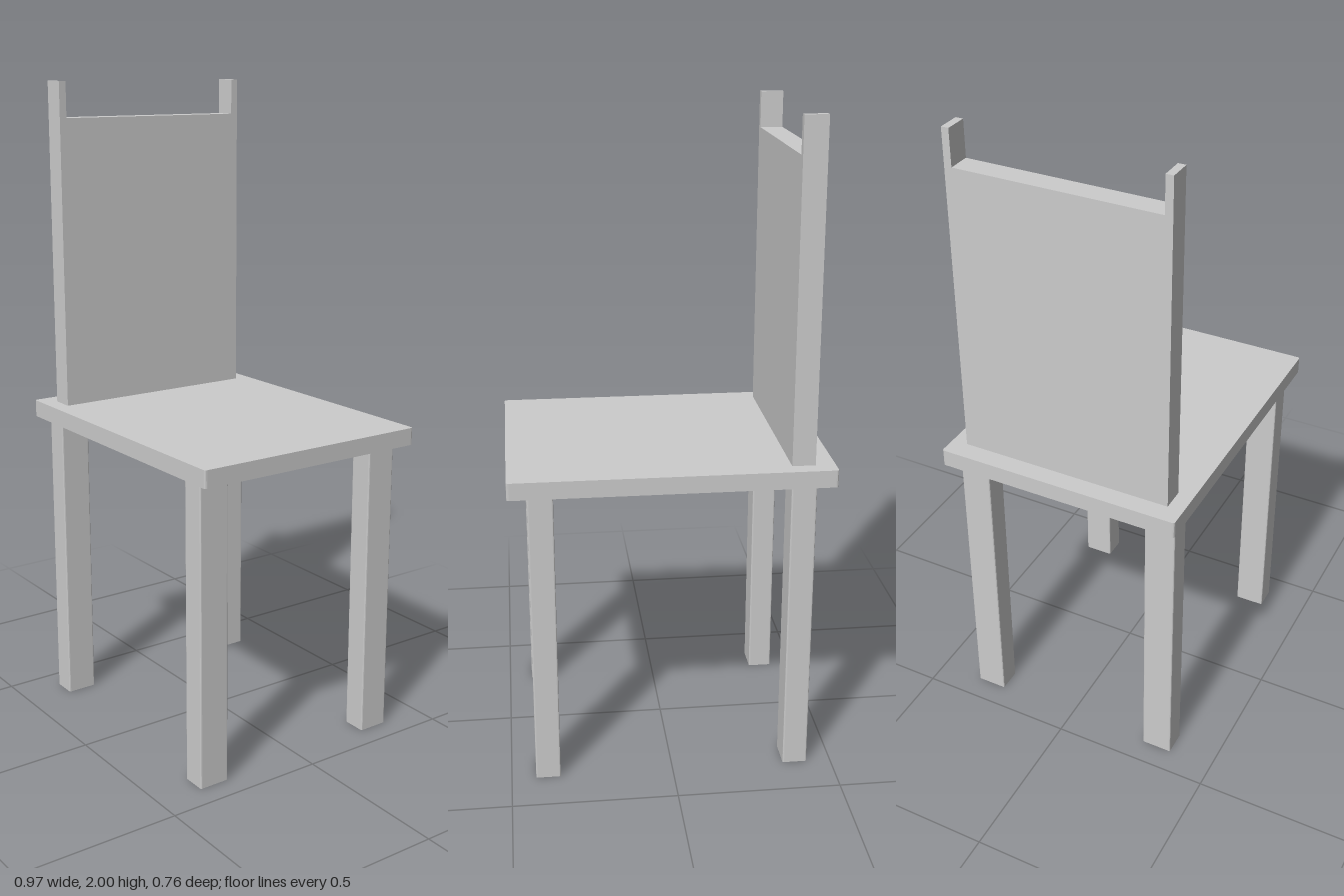
import * as THREE from 'three';

const material = new THREE.MeshStandardMaterial({ color: 0xcccccc, flatShading: true });

// Upright block whose vertical edges are slightly rounded in plan
function roundedBlock(name, w, d, r, y0, y1) {
  const x = w / 2, z = d / 2;
  const s = new THREE.Shape();
  s.moveTo(-x + r, -z);
  s.lineTo(x - r, -z);
  s.quadraticCurveTo(x, -z, x, -z + r);
  s.lineTo(x, z - r);
  s.quadraticCurveTo(x, z, x - r, z);
  s.lineTo(-x + r, z);
  s.quadraticCurveTo(-x, z, -x, z - r);
  s.lineTo(-x, -z + r);
  s.quadraticCurveTo(-x, -z, -x + r, -z);
  const geo = new THREE.ExtrudeGeometry(s, { depth: y1 - y0, bevelEnabled: false, curveSegments: 4 });
  geo.rotateX(-Math.PI / 2).translate(0, y0, 0);
  const mesh = new THREE.Mesh(geo, material);
  mesh.name = name;
  return mesh;
}

export function createModel() {
  const chair = new THREE.Group();
  chair.name = 'chair';

  // Seat board
  chair.add(roundedBlock('seat', 0.966, 0.764, 0.008, 0.937, 0.99));

  // Four legs; the sitter faces +x
  for (const sx of [-1, 1]) {
    for (const sz of [-1, 1]) {
      const leg = roundedBlock(sx < 0 ? 'rearLeg' : 'frontLeg', 0.076, 0.096, 0.005, 0, 0.937);
      leg.position.set(sx * 0.387, 0, sz * 0.31);
      chair.add(leg);
    }
  }

  // Backrest: one slab with two thin posts rising above its top edge
  const half = 0.333, inner = 0.31, base = 0.99, shoulder = 1.89, top = 2;
  const outline = new THREE.Shape([
    [-half, base], [half, base], [half, top], [inner, top],
    [inner, shoulder], [-inner, shoulder], [-inner, top], [-half, top],
  ].map(([z, y]) => new THREE.Vector2(z, y)));
  const backGeo = new THREE.ExtrudeGeometry(outline, { depth: 0.07, bevelEnabled: false });
  backGeo.translate(0, 0, -0.035).rotateY(Math.PI / 2);
  const back = new THREE.Mesh(backGeo, material);
  back.name = 'backrest';
  back.position.x = -0.388;
  chair.add(back);

  return chair;
}
